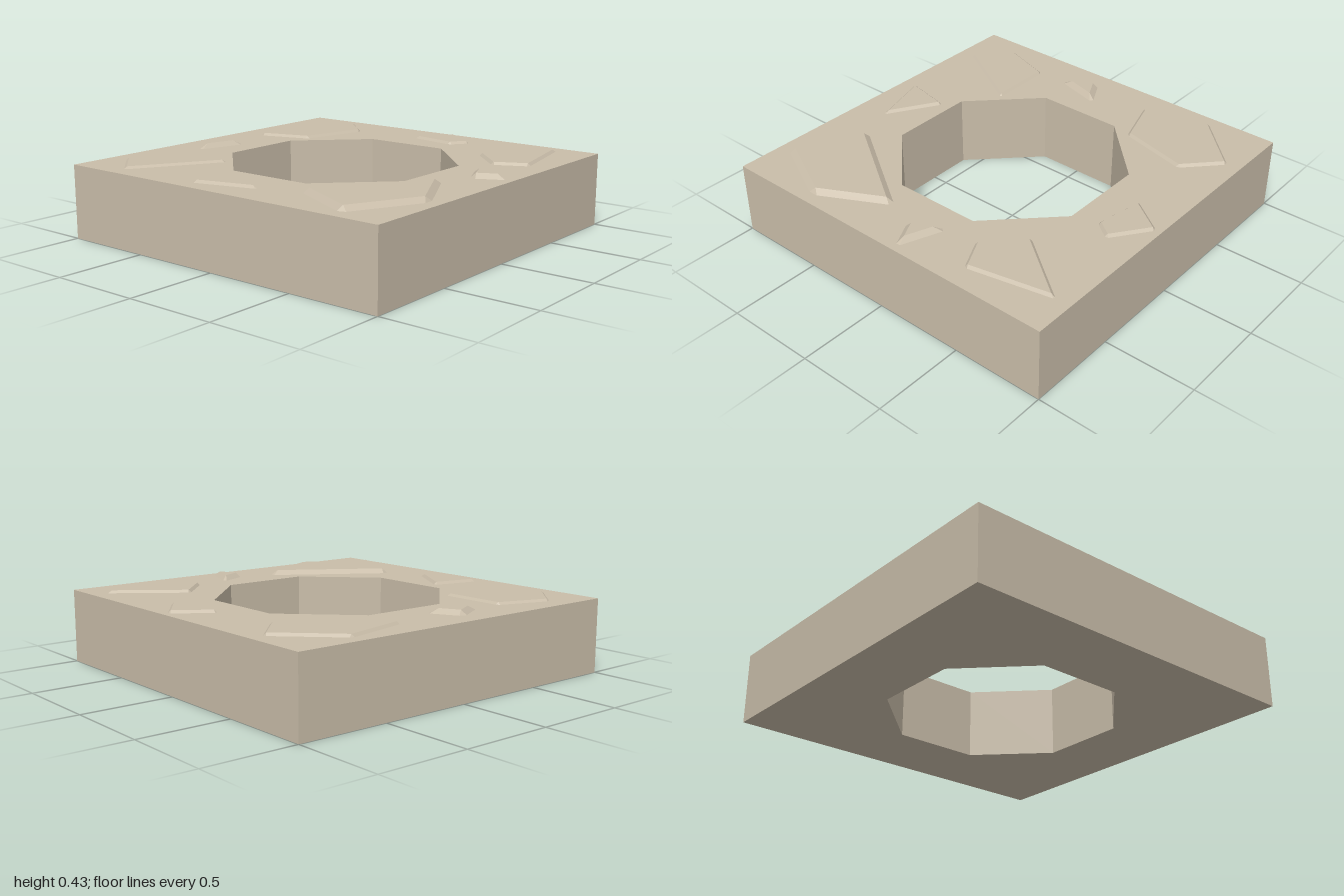
import * as THREE from 'three';

const SLAB_HEIGHT = 0.4;

// Shallow stone with bevelled rim and clipped corners; outline is [x, z], clockwise from above
function bevelledStone(outline, bevel, height) {
  const pts = outline.map(([x, z]) => new THREE.Vector2(x, z));
  const n = pts.length;
  const dirs = pts.map((p, i) => pts[(i + 1) % n].clone().sub(p).normalize());
  const normals = dirs.map((d) => new THREE.Vector2(-d.y, d.x));
  const lift = (p, y) => [p.x, y, p.y];

  const top = [], before = [], after = [];
  pts.forEach((p, i) => {
    const prev = (i + n - 1) % n;
    const inset = normals[prev].clone().add(normals[i])
      .multiplyScalar(bevel / (1 + normals[prev].dot(normals[i])));
    top.push(lift(p.clone().add(inset), height));
    before.push(lift(p.clone().addScaledVector(dirs[prev], -bevel), 0));
    after.push(lift(p.clone().addScaledVector(dirs[i], bevel), 0));
  });

  const verts = [];
  const tri = (a, b, c) => verts.push(...a, ...b, ...c);
  for (let i = 0; i < n; i++) {
    const j = (i + 1) % n;
    if (i > 0 && i < n - 1) tri(top[0], top[j], top[i]); // flat top
    tri(after[i], top[i], top[j]);                       // sloped side
    tri(after[i], top[j], before[j]);
    tri(before[i], top[i], after[i]);                    // clipped corner
  }
  const geometry = new THREE.BufferGeometry();
  geometry.setAttribute('position', new THREE.Float32BufferAttribute(verts, 3));
  geometry.computeVertexNormals();
  return geometry;
}

export function createModel() {
  const model = new THREE.Group();
  model.name = 'stoneFloorTile';
  const stone = new THREE.MeshStandardMaterial({ color: 0xc9bda9 });
  stone.name = 'sandstone';

  // Square slab with an octagonal opening
  const square = new THREE.Shape([[-1, -1], [1, -1], [1, 1], [-1, 1]].map(([x, y]) => new THREE.Vector2(x, y)));
  const octagon = [];
  for (let i = 0; i < 8; i++) {
    const a = (i + 0.5) * Math.PI / 4;
    octagon.push(new THREE.Vector2(Math.cos(a) * 0.633, Math.sin(a) * 0.633));
  }
  square.holes.push(new THREE.Path(octagon));
  const slabGeometry = new THREE.ExtrudeGeometry(square, { depth: SLAB_HEIGHT, bevelEnabled: false });
  slabGeometry.rotateX(-Math.PI / 2);
  const slab = new THREE.Mesh(slabGeometry, stone);
  slab.name = 'slab';
  model.add(slab);

  // Raised irregular stones around the opening
  const stones = [
    ['backRightStone', 0.014, 0.014, [[-0.65, -0.925], [-0.457, -0.743], [-0.552, -0.355], [-0.84, -0.265], [-0.93, -0.64]]],
    ['backStone', 0.014, 0.014, [[0.073, -0.97], [0.28, -0.82], [0.208, -0.72], [-0.068, -0.768]]],
    ['backLeftStone', 0.014, 0.014, [[0.787, -0.92], [0.883, -0.457], [0.705, -0.37], [0.513, -0.555]]],
    ['leftPebble', 0.028, 0.025, [[0.715, -0.2], [0.979, -0.1], [0.8, -0.01]]],
    ['frontLeftStone', 0.03, 0.025, [[0.738, 0.141], [0.943, 0.53], [0.742, 0.936], [0.345, 0.738]]],
    ['frontStone', 0.015, 0.014, [[-0.145, 0.643], [0.15, 0.82], [-0.205, 0.92]]],
    ['frontRightStone', 0.014, 0.012, [[-0.797, 0.447], [-0.423, 0.447], [-0.7, 0.917], [-0.893, 0.735]]],
    ['rightPebble', 0.029, 0.025, [[-0.714, 0.004], [-0.795, 0.295], [-0.9, 0.1]]],
  ];
  for (const [name, bevel, height, outline] of stones) {
    const mesh = new THREE.Mesh(bevelledStone(outline, bevel, height), stone);
    mesh.name = name;
    mesh.position.y = SLAB_HEIGHT;
    model.add(mesh);
  }
  return model;
}
